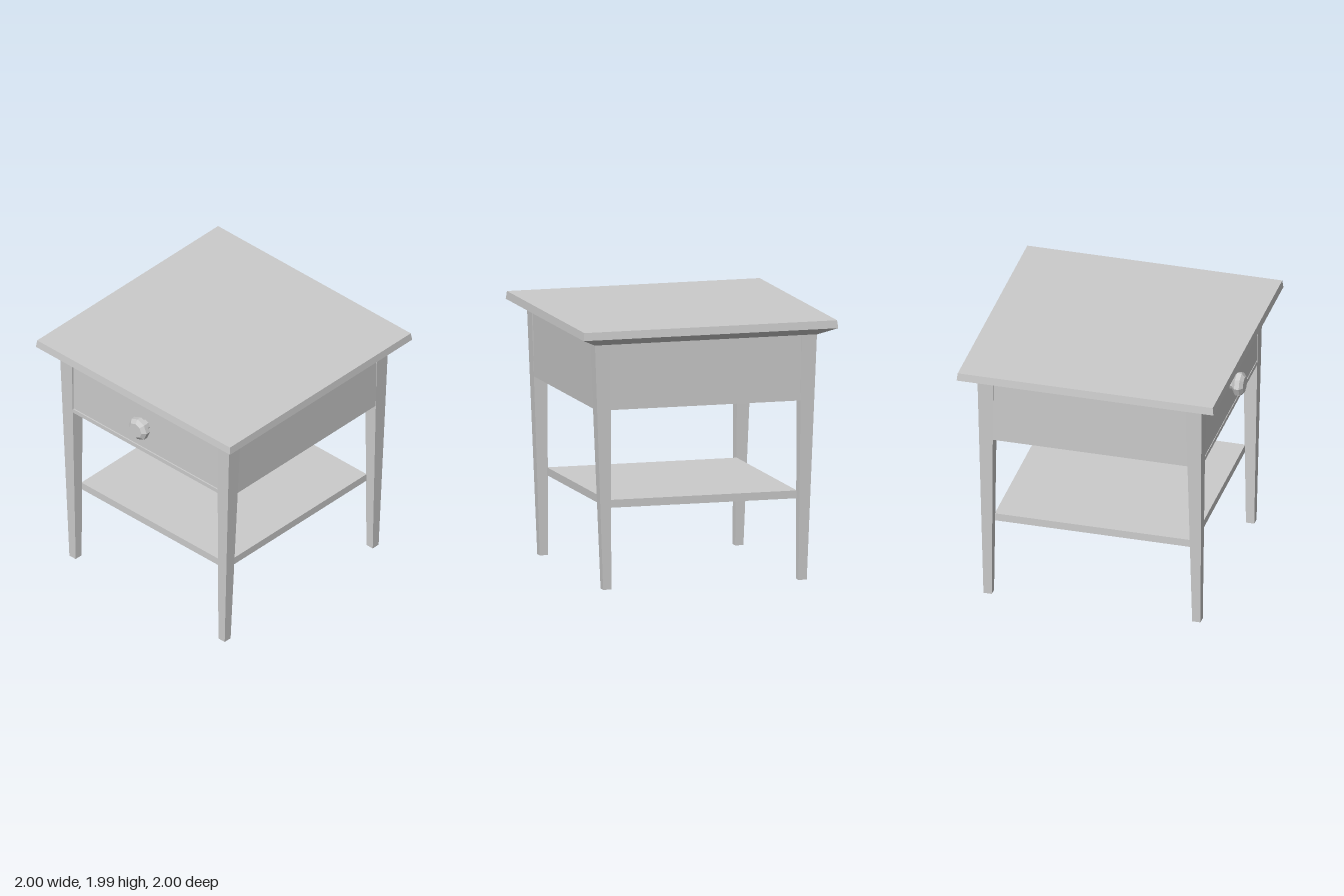
import * as THREE from 'three';

const material = new THREE.MeshStandardMaterial({ color: 0xcccccc, flatShading: true });

function add(group, name, geometry) {
  const mesh = new THREE.Mesh(geometry, material);
  mesh.name = name;
  group.add(mesh);
  return mesh;
}

// Box given by its limits on each axis
function block(x0, x1, y0, y1, z0, z1) {
  return new THREE.BoxGeometry(x1 - x0, y1 - y0, z1 - z0)
    .translate((x0 + x1) / 2, (y0 + y1) / 2, (z0 + z1) / 2);
}

// Closed solid through rectangular sections [y, x0, x1, z0, z1], bottom to top
function loft(sections) {
  const positions = [], index = [];
  for (const [y, x0, x1, z0, z1] of sections) {
    positions.push(x0, y, z1, x1, y, z1, x1, y, z0, x0, y, z0);
  }
  for (let s = 0; s < sections.length - 1; s++) {
    for (let i = 0; i < 4; i++) {
      const a = s * 4 + i, b = s * 4 + (i + 1) % 4;
      index.push(a, b, b + 4, a, b + 4, a + 4);
    }
  }
  const t = (sections.length - 1) * 4;
  index.push(0, 2, 1, 0, 3, 2, t, t + 1, t + 2, t, t + 2, t + 3);
  const geometry = new THREE.BufferGeometry();
  geometry.setAttribute('position', new THREE.Float32BufferAttribute(positions, 3));
  geometry.setIndex(index);
  const flat = geometry.toNonIndexed();
  flat.computeVertexNormals();
  return flat;
}

export function createModel() {
  const table = new THREE.Group();
  table.name = 'sideTable';

  // Table top with a wide bevel underneath
  add(table, 'tableTop', loft([[1.87, 0.875], [1.93, 1], [1.99, 0.993]]
    .map(([y, h]) => [y, -h, h, -h, h])));

  // Four tapered legs
  for (const sx of [-1, 1]) {
    for (const sz of [-1, 1]) {
      const section = (y, xi, xo, zi, zo) => [y,
        Math.min(sx * xi, sx * xo), Math.max(sx * xi, sx * xo),
        Math.min(sz * zi, sz * zo), Math.max(sz * zi, sz * zo)];
      add(table, (sz > 0 ? 'front' : 'back') + (sx > 0 ? 'Left' : 'Right') + 'Leg', loft([
        section(0, 0.735, 0.8, 0.78, 0.845),
        section(1.87, 0.75, 0.872, 0.75, 0.872),
      ]));
    }
  }

  // Side and back aprons, lying just behind the leg faces
  add(table, 'leftApron', loft([[1.37, 0.75, 0.852, -0.757, 0.757], [1.87, 0.75, 0.863, -0.757, 0.757]]));
  add(table, 'rightApron', loft([[1.37, -0.852, -0.75, -0.757, 0.757], [1.87, -0.863, -0.75, -0.757, 0.757]]));
  add(table, 'backApron', block(-0.75, 0.75, 1.37, 1.87, -0.863, -0.75));

  // Drawer case, front rails and drawer front with narrow gaps
  add(table, 'drawerCase', block(-0.755, 0.755, 1.371, 1.87, -0.76, 0.82));
  add(table, 'upperRail', block(-0.75, 0.75, 1.845, 1.87, 0.8, 0.862));
  add(table, 'lowerRail', block(-0.75, 0.75, 1.37, 1.403, 0.8, 0.862));
  add(table, 'drawerFront', block(-0.744, 0.744, 1.413, 1.83, 0.8, 0.862));

  // Eight-sided drawer knob
  const profile = [[0, 0], [0.045, 0], [0.045, 0.02], [0.092, 0.052], [0.092, 0.088], [0.062, 0.113], [0, 0.113]]
    .map(([r, h]) => new THREE.Vector2(r, h));
  const knob = add(table, 'drawerKnob', new THREE.LatheGeometry(profile, 8));
  knob.rotation.x = Math.PI / 2;
  knob.position.set(0, 1.637, 0.86);

  // Lower shelf held between the legs
  add(table, 'shelf', block(-0.745, 0.745, 0.61, 0.67, -0.772, 0.772));

  return table;
}
